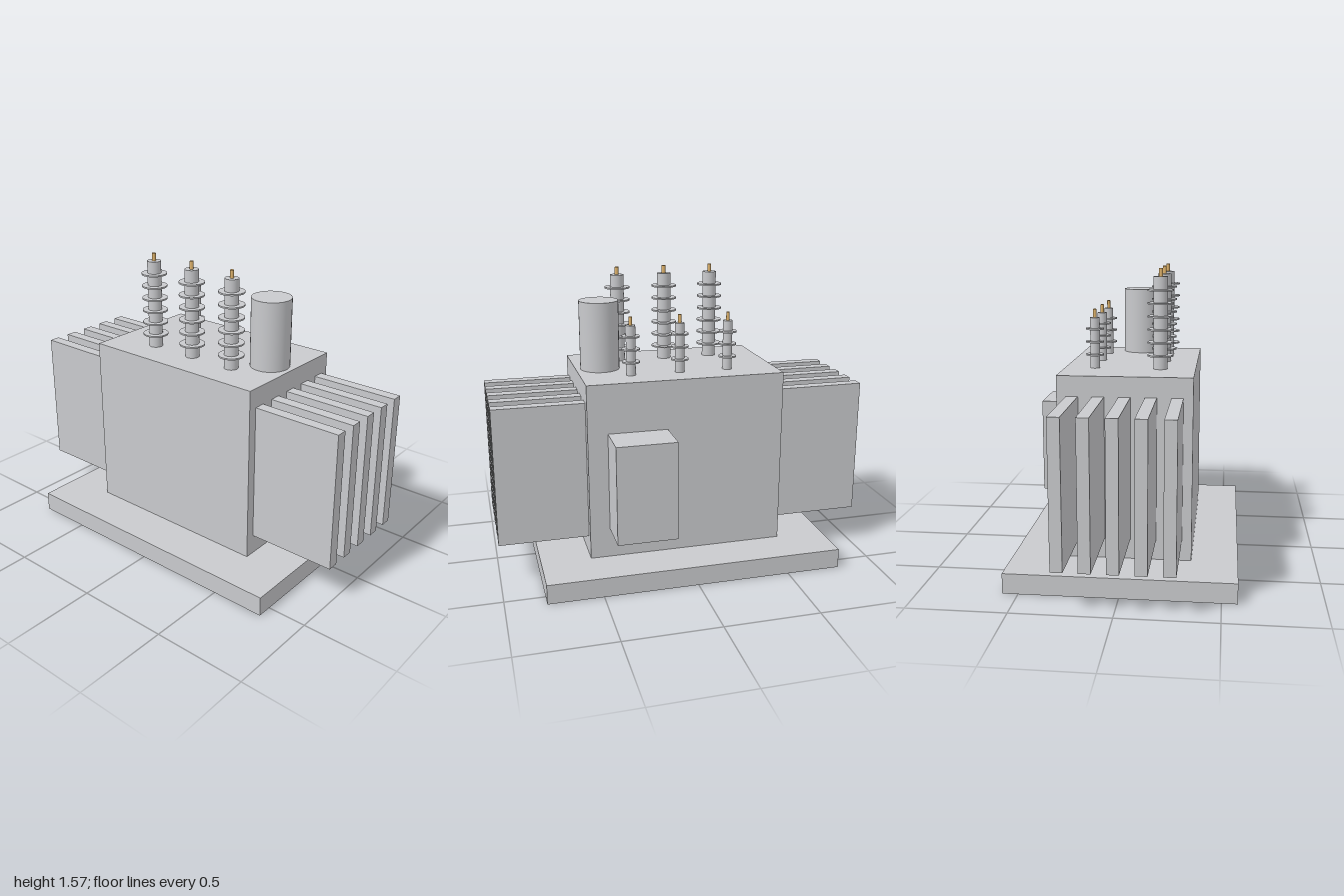
import * as THREE from 'three';

export function createModel() {
  const model = new THREE.Group();
  model.name = 'powerTransformer';

  const grey = new THREE.MeshStandardMaterial({ color: 0xc9cacd });
  grey.name = 'light steel grey';
  const brass = new THREE.MeshStandardMaterial({ color: 0xdfb36c });
  brass.name = 'brass';

  // Box from its minimum and maximum corners
  function box(name, [x0, y0, z0], [x1, y1, z1]) {
    const mesh = new THREE.Mesh(new THREE.BoxGeometry(x1 - x0, y1 - y0, z1 - z0), grey);
    mesh.position.set((x0 + x1) / 2, (y0 + y1) / 2, (z0 + z1) / 2);
    mesh.name = name;
    model.add(mesh);
  }

  // Upright cylinder between two heights
  function post(name, radius, y0, y1, material, parent, sides = 32) {
    const mesh = new THREE.Mesh(new THREE.CylinderGeometry(radius, radius, y1 - y0, sides), material);
    mesh.position.y = (y0 + y1) / 2;
    mesh.name = name;
    parent.add(mesh);
    return mesh;
  }

  const deck = 1.053;

  // Base slab, main tank and rear control cabinet
  box('base', [-0.79, 0, -0.579], [0.79, 0.105, 0.579]);
  box('tank', [-0.526, 0.105, -0.342], [0.526, deck, 0.342]);
  box('controlCabinet', [0.105, 0.264, -0.553], [0.421, 0.79, -0.342]);

  // Five cooling fins on each side
  for (let i = -2; i <= 2; i++) {
    const z = i * 0.1316;
    box('leftFin', [0.526, 0.212, z - 0.03], [1, 0.949, z + 0.03]);
    box('rightFin', [-1, 0.212, z - 0.03], [-0.526, 0.949, z + 0.03]);
  }

  // Oil conservator
  post('conservator', 0.105, deck, 1.421, grey, model).position.x = 0.395;

  // Insulator post with evenly spaced sheds and a brass terminal
  function bushing(name, x, z, { radius, top, shedRadius, sheds, pin, pinTop }) {
    const group = new THREE.Group();
    group.name = name;
    group.position.set(x, 0, z);
    post('insulator', radius, deck, top, grey, group);
    for (let i = 0; i < sheds; i++) {
      const y = 1.123 + i * 0.0673;
      post('shed', shedRadius, y - 0.004, y + 0.004, grey, group);
    }
    post('terminal', pin, top, pinTop, brass, group, 12);
    model.add(group);
  }

  const high = { radius: 0.037, top: 1.529, shedRadius: 0.068, sheds: 6, pin: 0.0105, pinTop: 1.57 };
  const low = { radius: 0.025, top: 1.316, shedRadius: 0.047, sheds: 3, pin: 0.009, pinTop: 1.36 };
  for (const x of [-0.263, 0, 0.263]) {
    bushing('highVoltageBushing', x, 0.158, high);
    bushing('lowVoltageBushing', x, -0.184, low);
  }

  return model;
}
